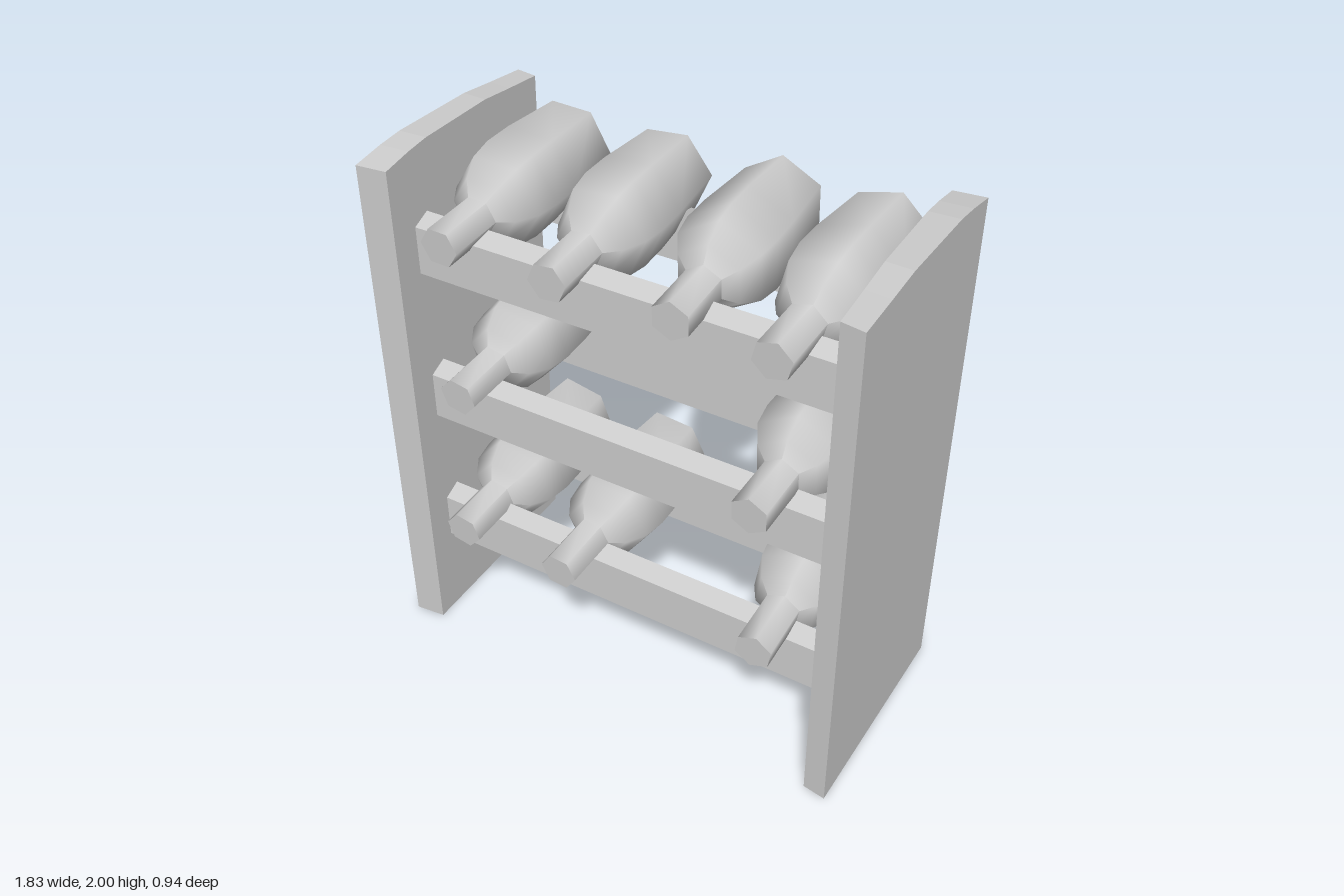
import * as THREE from 'three';
import { toCreasedNormals } from 'three/addons/utils/BufferGeometryUtils.js';

const material = new THREE.MeshStandardMaterial({ color: 0xcccccc });

function add(parent, name, geometry) {
  const mesh = new THREE.Mesh(geometry, material);
  mesh.name = name;
  parent.add(mesh);
  return mesh;
}

// Side panel: wider at the top, gently bowed top edge, slightly thinner towards the front
function panelGeometry() {
  const outline = [
    [-0.42, 0], [0.44, 0], [0.47, 1.97], [0.3, 1.985], [0.15, 2],
    [-0.2, 2], [-0.3, 1.99], [-0.425, 1.97],
  ].map(([z, y]) => new THREE.Vector2(z, y));
  const geo = new THREE.ExtrudeGeometry(new THREE.Shape(outline), { depth: 0.115, bevelEnabled: false });
  geo.rotateY(-Math.PI / 2).translate(0.915, 0, 0);
  const p = geo.attributes.position;
  for (let i = 0; i < p.count; i++) {
    if (p.getX(i) > 0.85) continue;
    p.setX(i, 0.8 + 0.03 * (p.getZ(i) + 0.42) / 0.88);
    p.setZ(i, p.getZ(i) * 0.97);
  }
  geo.computeVertexNormals();
  return geo;
}

// Cross rail with its top sloping down towards the outside
function railGeometry() {
  const profile = [[0.23, 0], [0.3, 0], [0.3, 0.18], [0.23, 0.21]].map(([z, y]) => new THREE.Vector2(-z, y));
  const geo = new THREE.ExtrudeGeometry(new THREE.Shape(profile), { depth: 1.63, bevelEnabled: false });
  return geo.rotateY(Math.PI / 2).translate(-0.815, 0, 0);
}

// Six-sided bottle lying along z with its neck to the front
function bottleGeometry() {
  const profile = [
    [0, -0.38], [0.16, -0.38], [0.182, -0.12], [0.184, 0.0], [0.17, 0.09],
    [0.125, 0.165], [0.072, 0.2], [0.072, 0.42], [0, 0.42],
  ].map(([r, z]) => new THREE.Vector2(r, z));
  const geo = new THREE.LatheGeometry(profile, 6);
  geo.rotateX(Math.PI / 2);
  return toCreasedNormals(geo, 1.2);
}

export function createModel() {
  const rack = new THREE.Group();
  rack.name = 'bottleRack';

  const panel = panelGeometry();
  add(rack, 'leftPanel', panel);
  add(rack, 'rightPanel', panel).rotation.y = Math.PI;

  // Each bottle: x, height above rail top, z shift, roll in degrees, yaw in radians
  const tiers = [
    { y: 0.355, bottles: [[-0.62, 0.015, 0.02, -12, 0.015], [-0.18, 0.02, 0.03, -5, 0], [0.6, 0.035, 0.03, 20, 0.03]] },
    { y: 0.93, bottles: [[-0.6, 0.045, 0, -12, 0.02], [0.575, 0.04, 0.03, 30, 0]] },
    { y: 1.535, bottles: [[-0.615, 0.03, 0, -3, 0.02], [-0.195, 0.03, 0, 5, 0.03], [0.235, 0.025, -0.02, 30, 0.05], [0.62, 0.03, 0.015, 15, 0]] },
  ];
  const rail = railGeometry();
  const bottle = bottleGeometry();

  tiers.forEach(({ y, bottles }) => {
    const tier = new THREE.Group();
    tier.name = 'tier';
    tier.position.y = y;
    rack.add(tier);
    add(tier, 'frontRail', rail);
    add(tier, 'backRail', rail).rotation.y = Math.PI;

    bottles.forEach(([x, lift, z, roll, yaw]) => {
      const mesh = add(tier, 'bottle', bottle);
      mesh.position.set(x, 0.21 + lift, z);
      // Neck dips slightly towards the front
      mesh.rotation.set(0.055, yaw, THREE.MathUtils.degToRad(30 + roll));
    });
  });

  return rack;
}
